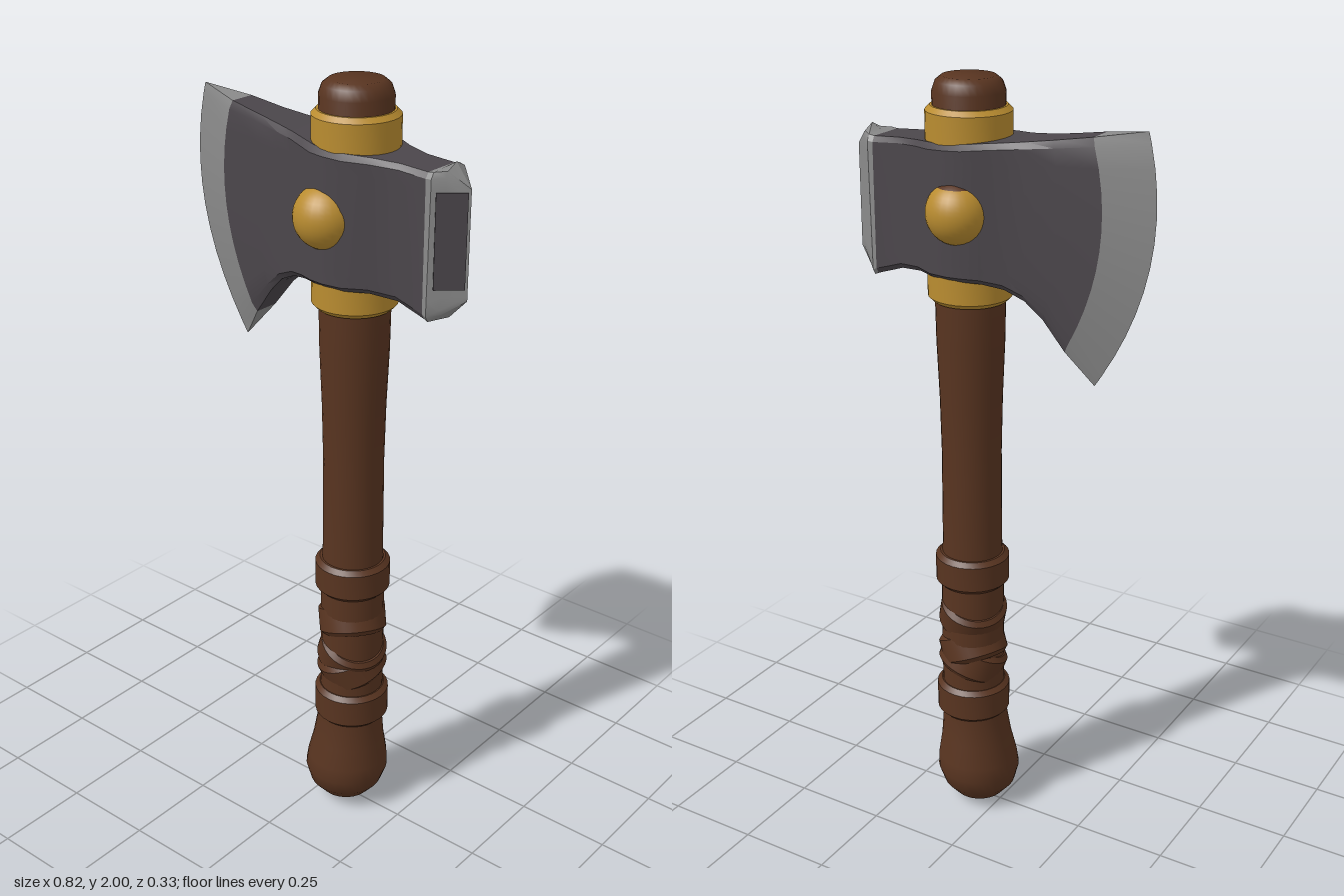
import * as THREE from 'three';
import { toCreasedNormals } from 'three/addons/utils/BufferGeometryUtils.js';

const AXIS_X = 0.085; // handle axis

function material(name, color, side = THREE.FrontSide) {
  const m = new THREE.MeshStandardMaterial({ color, side });
  m.name = name;
  return m;
}

// Loft through head stations; each is [xTop, yTop, xBottom, yBottom, bulge, halfThickness, peak]
function loftHead(stations) {
  const rows = 10;
  const rings = stations.map(([xT, yT, xB, yB, bulge, t, peak = 0]) => {
    const at = (v, z, dy = 0) => [
      xT + (xB - xT) * v + bulge * 4 * v * (1 - v), yT + (yB - yT) * v + dy, z];
    const front = [at(0, t * 0.85)];
    for (let r = 0; r <= rows; r++) front.push(at(0.04 + 0.92 * r / rows, t));
    front.push(at(1, t * 0.85));
    const back = front.map(([x, y, z]) => [x, y, -z]).reverse();
    return [at(0, 0, peak), ...front, at(1, 0, -peak), ...back];
  });
  const pos = [];
  const n = rings[0].length;
  for (let i = 0; i < rings.length - 1; i++) {
    for (let j = 0; j < n; j++) {
      const k = (j + 1) % n;
      const a = rings[i][j], b = rings[i][k], c = rings[i + 1][k], d = rings[i + 1][j];
      pos.push(...a, ...b, ...c, ...a, ...c, ...d);
    }
  }
  const g = new THREE.BufferGeometry();
  g.setAttribute('position', new THREE.Float32BufferAttribute(pos, 3));
  return toCreasedNormals(g, 0.5);
}

function lathe(points, segments = 32) {
  const g = new THREE.LatheGeometry(points.map(([r, y]) => new THREE.Vector2(r, y)), segments);
  return toCreasedNormals(g, 0.7);
}

// Closed band with rounded rims, centred on its own origin
function band(radius, height, inner = 0.06) {
  const h = height / 2, c = 0.012;
  return lathe([[inner, -h], [radius - c, -h], [radius, -h + c], [radius, h - c],
    [radius - c, h], [inner, h]]);
}

export function createModel() {
  const wood = material('brown wood', 0x583420);
  const iron = material('dark iron', 0x4b464b);
  const steel = material('bright steel', 0x8b8b8b);
  const gold = material('gold', 0xb98c30);

  const group = new THREE.Group();
  group.name = 'battleAxe';
  const add = (name, geometry, mat, x = 0, y = 0, z = 0) => {
    const mesh = new THREE.Mesh(geometry, mat);
    mesh.name = name;
    mesh.position.set(x, y, z);
    group.add(mesh);
    return mesh;
  };

  // Handle with swollen pommel, leaning slightly towards the blade at the bottom
  const handle = lathe([[0, 0], [0.035, 0.005], [0.07, 0.022], [0.098, 0.055], [0.112, 0.1],
    [0.108, 0.14], [0.096, 0.2], [0.086, 0.28], [0.083, 0.4], [0.083, 0.68], [0.078, 0.8],
    [0.077, 1.05], [0.08, 1.2], [0.086, 1.35], [0.088, 1.48], [0.088, 1.965],
    [0.08, 1.988], [0.065, 2], [0, 2]]);
  const p = handle.attributes.position;
  for (let i = 0; i < p.count; i++) {
    const low = Math.max(0, 1 - p.getY(i) / 0.35);
    p.setX(i, p.getX(i) - 0.018 * Math.min(1, low * 1.2));
  }
  add('handle', handle, wood, AXIS_X);

  // Grip: two end collars and diagonal leather wraps
  add('upperGripCollar', band(0.097, 0.092), wood, AXIS_X, 0.72);
  add('lowerGripCollar', band(0.098, 0.096), wood, AXIS_X, 0.328);
  [[0.44, 0.3, 0.3], [0.48, -0.42, 0.2], [0.58, 0.3, -0.25]].forEach(([y, rz, rx], i) => {
    const wrap = add('gripWrap' + (i + 1), band(0.09, 0.085), wood, AXIS_X, y);
    wrap.rotation.set(rx, 0, rz);
    wrap.scale.set(0.98, 1, 0.98);
  });

  // Gold collars above and below the head
  add('upperCollar', band(0.105, 0.11), gold, AXIS_X, 1.878);
  add('lowerCollar', band(0.105, 0.11), gold, AXIS_X, 1.513);

  // Axe head: sharpened edge, cheeks, wedge-shaped poll
  const bevel = [-0.265, 1.9, -0.2, 1.38, -0.057, 0.04];
  const neck = [0.325, 1.84, 0.325, 1.497, 0, 0.058];
  add('bladeEdge', loftHead([[-0.385, 1.92, -0.265, 1.295, -0.075, 0], bevel]), steel);
  add('headBody', loftHead([
    bevel,
    [-0.17, 1.884, -0.145, 1.452, -0.025, 0.05],
    [-0.1, 1.874, -0.1, 1.495, -0.008, 0.063],
    [-0.05, 1.868, -0.05, 1.518, 0, 0.076],
    [0, 1.864, 0, 1.528, 0, 0.098],
    [0.04, 1.86, 0.04, 1.53, 0, 0.114],
    [0.08, 1.858, 0.08, 1.53, 0, 0.119],
    [0.13, 1.855, 0.13, 1.53, 0, 0.113],
    [0.185, 1.85, 0.185, 1.53, 0, 0.082],
    [0.25, 1.845, 0.25, 1.522, 0, 0.059],
    neck,
  ]), iron);
  add('poll', loftHead([
    neck,
    [0.34, 1.842, 0.335, 1.492, 0, 0.058, 0.003],
    [0.365, 1.845, 0.36, 1.51, 0, 0.037, 0.015],
    [0.408, 1.805, 0.408, 1.545, 0, 0],
  ]), steel);

  // Dark inset on the front slope of the poll
  const panel = add('pollPanel', new THREE.BoxGeometry(0.072, 0.225, 0.006), iron, 0.376, 1.685, 0.028);
  panel.rotation.y = Math.atan2(0.058, 0.068);

  // Round studs on both cheeks
  add('frontStud', new THREE.SphereGeometry(0.078, 28, 20), gold, 0.065, 1.695, 0.085);
  const split = 0.65;
  add('backStud', new THREE.SphereGeometry(0.078, 28, 18, 0, Math.PI * 2, split, Math.PI - split),
    gold, 0.065, 1.695, -0.085);
  add('backStudTop', new THREE.SphereGeometry(0.078, 28, 6, 0, Math.PI * 2, 0, split),
    wood, 0.065, 1.695, -0.085);

  return group;
}
